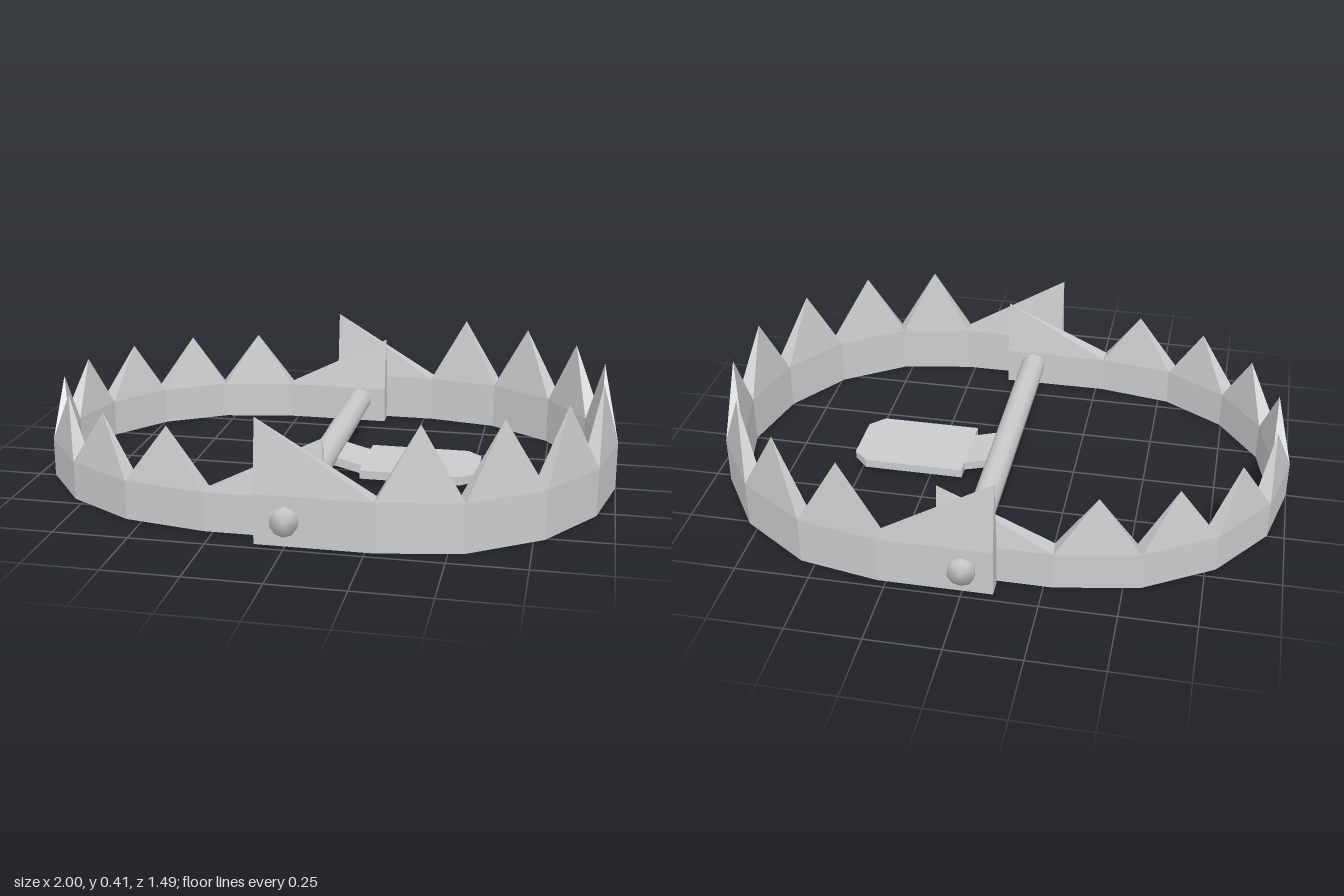
import * as THREE from 'three';
import { mergeVertices } from 'three/addons/utils/BufferGeometryUtils.js';

const smooth = new THREE.MeshStandardMaterial({ color: 0xcccccc });
const flat = new THREE.MeshStandardMaterial({ color: 0xcccccc, flatShading: true });
const THICKNESS = 0.06;

// Toothed band swept along [x, z] points, from the front end round to the middle, then mirrored
function jawGeometry(half, bandHeight, toothHeight) {
  const path = [...half, ...half.slice(0, -1).reverse().map(([x, z]) => [x, -z])];
  const last = path.length - 1;

  // One cross-section per point: outer and inner, bottom and top
  const sections = path.map(([x, z], i) => {
    const a = path[Math.max(i - 1, 0)], b = path[Math.min(i + 1, last)];
    const n = new THREE.Vector2(a[1] - b[1], b[0] - a[0]).normalize().multiplyScalar(THICKNESS);
    if (i === 1 || i === last - 1) n.set(n.x, Math.sign(z) * THICKNESS);
    const at = (k, y) => [x - k * n.x, y, z - k * n.y];
    return {
      ob: at(0, 0), ot: at(0, bandHeight),
      ib: at(1, 0), it: at(1, bandHeight),
      tip: at(0.5, toothHeight),
    };
  });

  const pos = [];
  const tri = (a, b, c) => pos.push(...a, ...b, ...c);
  const quad = (a, b, c, d) => { tri(a, b, c); tri(a, c, d); };

  for (let i = 0; i < last; i++) {
    const a = sections[i], b = sections[i + 1];
    quad(a.ob, b.ob, b.ot, a.ot);
    quad(b.ib, a.ib, a.it, b.it);
    quad(a.ob, a.ib, b.ib, b.ob);
    // Tooth: a pyramid, leaning to the very end on the two end segments
    const t = i === 0 ? 0 : i === last - 1 ? 1 : 0.5;
    const tip = a.tip.map((v, k) => THREE.MathUtils.lerp(v, b.tip[k], t));
    const rim = [a.ot, b.ot, b.it, a.it];
    rim.forEach((p, k) => tri(p, rim[(k + 1) % 4], tip));
  }
  const s = sections[0], e = sections[last];
  quad(s.ib, s.ob, s.ot, s.it);
  quad(e.ob, e.ib, e.it, e.ot);

  const geo = new THREE.BufferGeometry();
  geo.setAttribute('position', new THREE.Float32BufferAttribute(pos, 3));
  geo.computeVertexNormals();
  return geo;
}

export function createModel() {
  const model = new THREE.Group();
  model.name = 'jawTrap';
  const add = (name, geo, mat) => {
    const mesh = new THREE.Mesh(geo, mat);
    mesh.name = name;
    model.add(mesh);
    return mesh;
  };

  // Larger jaw on the left (+x), overlapping the smaller one at the hinge
  add('largeJaw', jawGeometry(
    [[-0.1, 0.72], [0.28, 0.72], [0.55, 0.67], [0.785, 0.51], [0.94, 0.275], [1, 0]], 0.165, 0.405), flat);
  add('smallJaw', jawGeometry(
    [[-0.1, 0.65], [0.28, 0.65], [0.555, 0.6], [0.785, 0.46], [0.942, 0.248], [1, 0]], 0.132, 0.327), flat)
    .rotation.y = Math.PI;

  // Hinge rod with shared normals, so its ends shade as rounded
  let rod = new THREE.CylinderGeometry(0.045, 0.045, 1.49, 10).rotateX(Math.PI / 2);
  rod.deleteAttribute('normal');
  rod.deleteAttribute('uv');
  rod = mergeVertices(rod);
  rod.computeVertexNormals();
  add('hingeRod', rod, smooth).position.y = 0.085;

  // Trigger plate with two clipped corners
  const plate = new THREE.Shape([
    [0.13, -0.14], [0.48, -0.14], [0.53, -0.09], [0.53, 0.09], [0.48, 0.14], [0.13, 0.14],
  ].map(([x, z]) => new THREE.Vector2(x, z)));
  const plateGeo = new THREE.ExtrudeGeometry(plate, { depth: 0.03, bevelEnabled: false });
  add('triggerPlate', plateGeo.rotateX(-Math.PI / 2), flat).position.y = 0.023;

  // Sloping neck from the rod to the plate
  const neck = new THREE.Shape([[0, 0.055], [0.13, 0.023], [0.13, 0.053], [0, 0.087]]
    .map(([x, y]) => new THREE.Vector2(x, y)));
  add('triggerNeck', new THREE.ExtrudeGeometry(neck, { depth: 0.18, bevelEnabled: false }), flat)
    .position.z = -0.09;

  return model;
}
